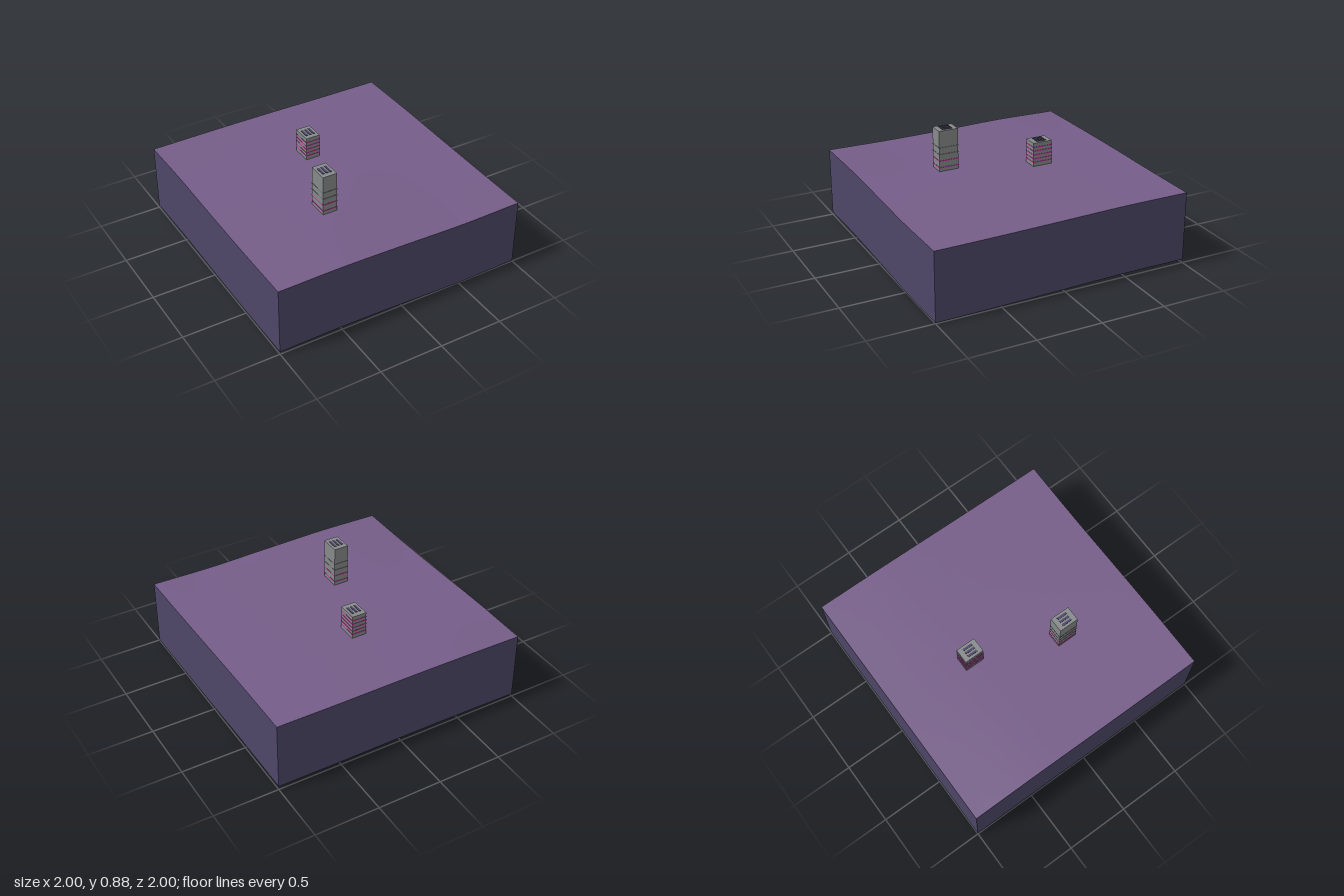
import * as THREE from 'three';

const SKIRT = 0.535, SEG = 24;

// Ground heights on a 5 x 5 grid, rows from back to front, columns from -x to +x
const HEIGHTS = [
  [0.559, 0.565, 0.567, 0.564, 0.565],
  [0.566, 0.567, 0.566, 0.565, 0.566],
  [0.557, 0.559, 0.558, 0.556, 0.557],
  [0.553, 0.558, 0.554, 0.547, 0.548],
  [0.558, 0.563, 0.552, 0.538, 0.543],
];
const spline = (values, t) =>
  new THREE.SplineCurve(values.map(v => new THREE.Vector2(v, 0))).getPoint(THREE.MathUtils.clamp(t, 0, 1)).x;
const heightAt = (x, z) => spline(HEIGHTS.map(row => spline(row, (x + 1) / 2)), (z + 1) / 2);

function material(name, color, side = THREE.FrontSide) {
  const m = new THREE.MeshStandardMaterial({ color, side });
  m.name = name;
  return m;
}

export function createModel() {
  const group = new THREE.Group();
  group.name = 'terrainTileWithTowers';
  const purple = material('purple ground', 0x755d88, THREE.DoubleSide);
  const indigo = material('indigo', 0x4d4668, THREE.DoubleSide);
  const grey = material('concrete grey', 0x868a8a);
  const darkGrey = material('dark grey', 0x6c7072);
  const magenta = material('magenta', 0xc030a0);

  const add = (parent, name, geometry, mat, x = 0, y = 0, z = 0) => {
    const mesh = new THREE.Mesh(geometry, mat);
    mesh.name = name;
    mesh.position.set(x, y, z);
    parent.add(mesh);
  };

  // Gently rolling ground
  const ground = new THREE.PlaneGeometry(2, 2, SEG, SEG).rotateX(-Math.PI / 2);
  const gp = ground.attributes.position;
  for (let i = 0; i < gp.count; i++) gp.setY(i, heightAt(gp.getX(i), gp.getZ(i)));
  ground.computeVertexNormals();
  add(group, 'ground', ground, purple);

  // Four side walls that follow the ground at top and bottom; open underneath
  for (let k = 0; k < 4; k++) {
    const wall = new THREE.PlaneGeometry(2, 1, SEG, 1).translate(0, 0, 1).rotateY(k * Math.PI / 2);
    const p = wall.attributes.position;
    for (let i = 0; i < p.count; i++) {
      const h = heightAt(p.getX(i), p.getZ(i));
      p.setY(i, p.getY(i) > 0 ? h : h - SKIRT);
    }
    add(group, 'sideWall', wall, indigo);
  }

  // Tower block with floor bands and roof slats
  function tower(name, x, z, base, top, bands) {
    const t = new THREE.Group();
    t.name = name;
    const w = 0.116, d = 0.156;
    add(t, 'towerBody', new THREE.BoxGeometry(w, top - base, d), grey, 0, (top + base) / 2, 0);
    for (const [y, mat] of bands)
      add(t, 'floorBand', new THREE.BoxGeometry(w + 0.004, 0.008, d + 0.004), mat, 0, y, 0);
    for (const sx of [-0.03, 0, 0.03])
      add(t, 'roofSlat', new THREE.BoxGeometry(0.016, 0.005, 0.08), indigo, sx, top + 0.002, 0);
    t.position.set(x, 0, z);
    group.add(t);
  }
  tower('tallTower', -0.25, 0.335, heightAt(-0.25, 0.335), 0.88,
    [[0.588, magenta], [0.641, magenta], [0.693, darkGrey], [0.746, darkGrey]]);
  tower('shortTower', -0.002, -0.333, heightAt(0, -0.333) + 0.001, 0.753,
    [0.598, 0.626, 0.657, 0.688, 0.718].map(y => [y, magenta]));
  return group;
}
